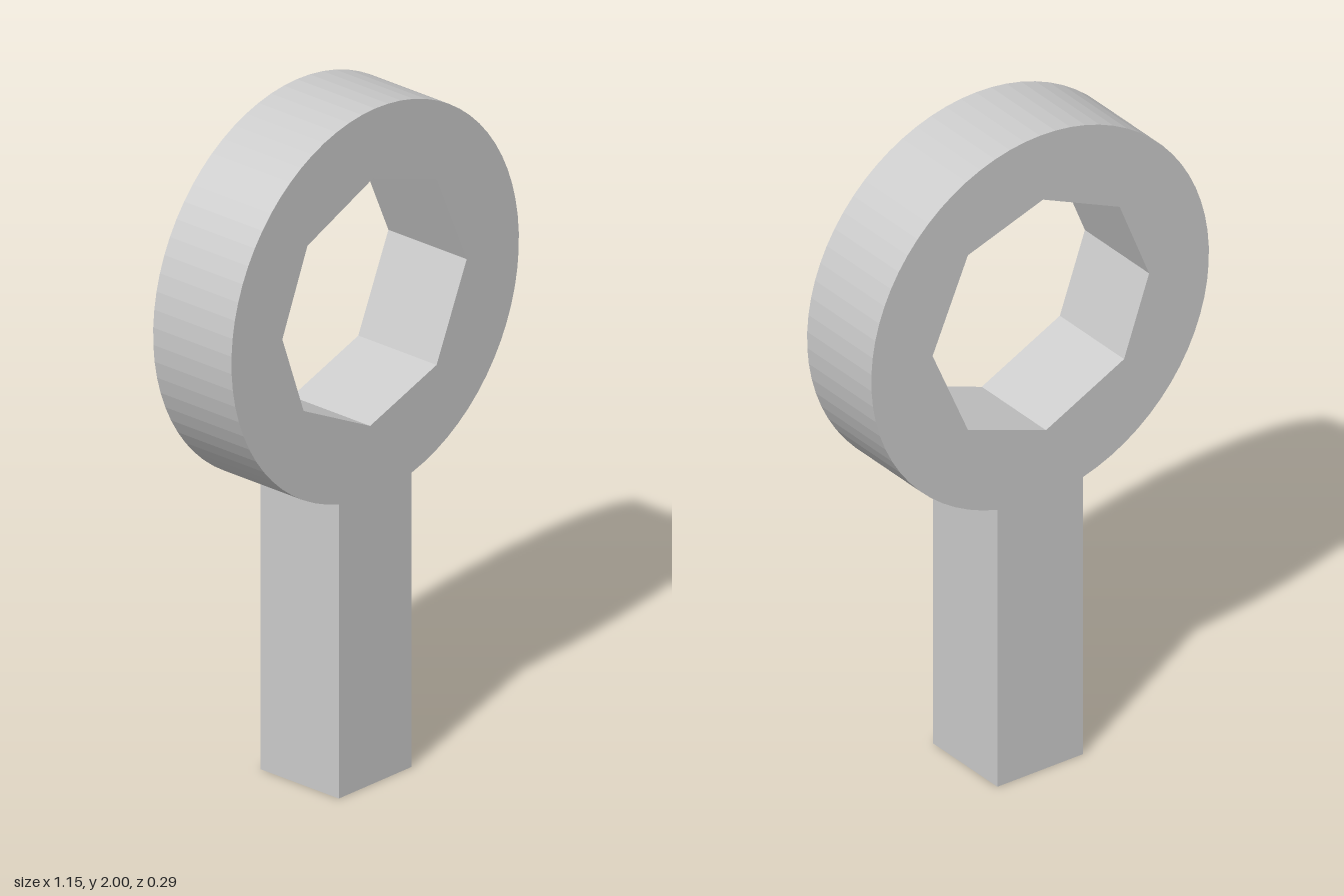
import * as THREE from 'three';

const DEPTH = 0.29;
const HALF_HANDLE = 0.145;
const RING_RADIUS = 0.573;
const RING_Y = 1.427;

// Corners of the slightly uneven eight-sided opening
const OPENING = [
  [-0.01, 1.795], [0.245, 1.71], [0.365, 1.435], [0.245, 1.16],
  [-0.02, 1.065], [-0.285, 1.195], [-0.37, 1.435], [-0.27, 1.68],
];

export function createModel() {
  const group = new THREE.Group();
  group.name = 'ringWithHandle';

  // Handle and round head share one outline, so no faces are hidden inside
  const neck = Math.asin(HALF_HANDLE / RING_RADIUS);
  const outline = new THREE.Shape();
  outline.moveTo(-HALF_HANDLE, 0);
  outline.lineTo(HALF_HANDLE, 0);
  outline.absarc(0, RING_Y, RING_RADIUS, -Math.PI / 2 + neck, Math.PI * 1.5 - neck, false);
  outline.closePath();

  // Opening through the head
  outline.holes.push(new THREE.Path(OPENING.map(([x, y]) => new THREE.Vector2(x, y))));

  const geometry = new THREE.ExtrudeGeometry(outline, {
    depth: DEPTH, bevelEnabled: false, curveSegments: 32,
  });
  geometry.translate(0, 0, -DEPTH / 2);

  const body = new THREE.Mesh(
    geometry,
    new THREE.MeshStandardMaterial({ color: 0xcccccc, flatShading: true }),
  );
  body.name = 'ringHeadAndHandle';
  group.add(body);
  return group;
}
